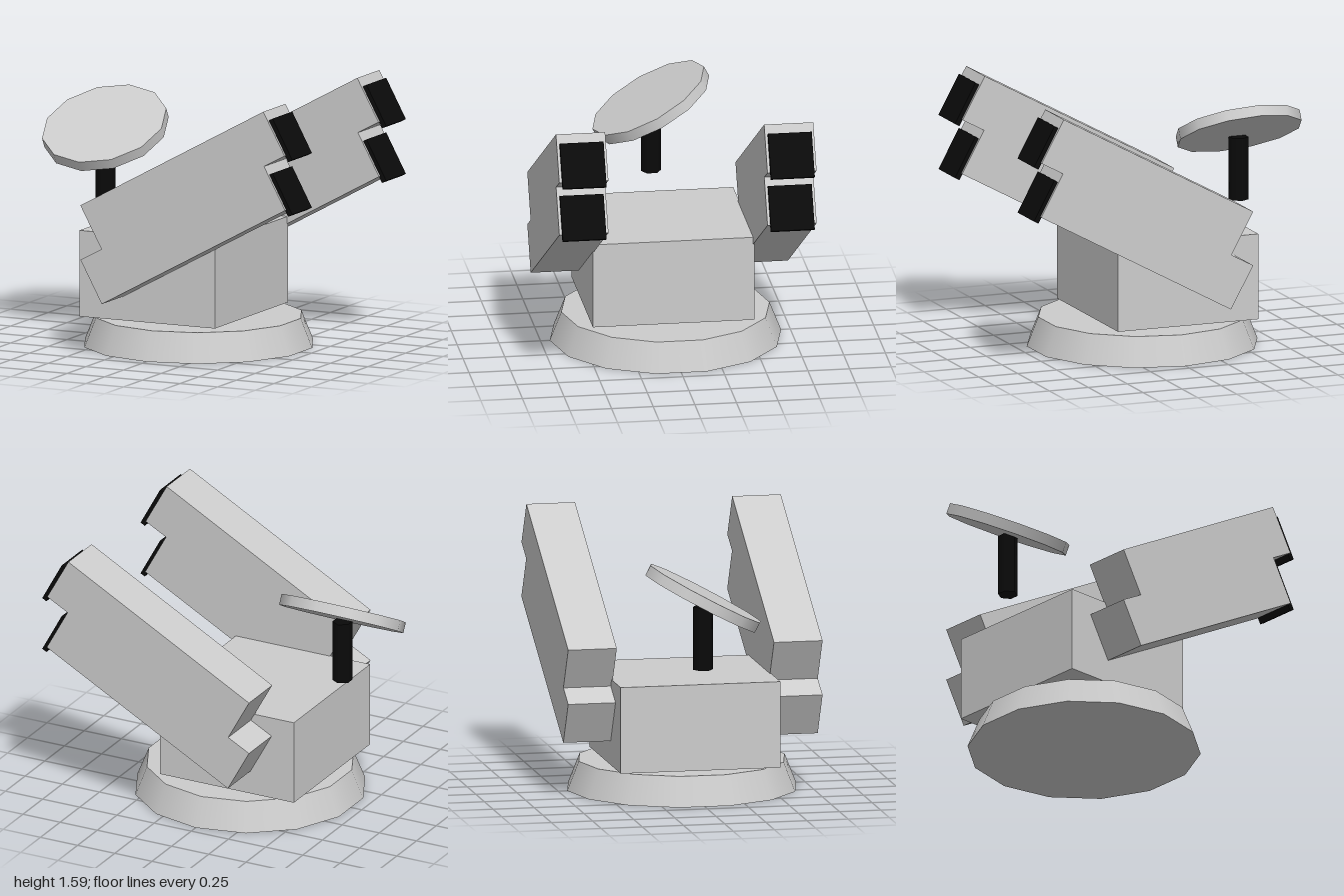
import * as THREE from 'three';

const grey = new THREE.MeshStandardMaterial({ color: 0xcccccc });
grey.name = 'light grey';
const black = new THREE.MeshStandardMaterial({ color: 0x0a0a0a });
black.name = 'black';

const TILT = THREE.MathUtils.degToRad(28.7); // elevation of the pods

function part(name, geometry, material, x, y, z) {
  const mesh = new THREE.Mesh(geometry, material);
  mesh.name = name;
  mesh.position.set(x, y, z);
  return mesh;
}

// One launcher pod: two stepped tubes in a single profile, with dark end caps
function createPod(name, z) {
  const pod = new THREE.Group();
  pod.name = name;
  pod.position.z = z;

  const width = 0.295;
  const profile = [
    [-0.4, 0.925], [-0.26, 0.672], [-0.4, 0.597], [-0.258, 0.34],
    [0.96, 1.005], [0.82, 1.26], [0.957, 1.334], [0.815, 1.59],
  ].map(([x, y]) => new THREE.Vector2(x, y));
  const housing = new THREE.ExtrudeGeometry(new THREE.Shape(profile), { depth: width, bevelEnabled: false });
  housing.translate(0, 0, -width / 2);
  pod.add(part('podHousing', housing, grey, 0, 0, 0));

  for (const [capName, y] of [['upperCap', 1.423], ['lowerCap', 1.093]]) {
    const cap = part(capName, new THREE.BoxGeometry(0.032, 0.273, 0.262), black, 0.92, y, 0);
    cap.rotation.z = TILT;
    pod.add(cap);
  }
  return pod;
}

export function createModel() {
  const model = new THREE.Group();
  model.name = 'launcherTurret';

  // Flared round base and the rotating body just above it
  model.add(part('base', new THREE.CylinderGeometry(0.625, 0.695, 0.176, 14), grey, 0, 0.088, 0));
  model.add(part('body', new THREE.BoxGeometry(0.9, 0.52, 0.97), grey, -0.1, 0.455, 0));

  // Pods on both sides of the body
  model.add(createPod('frontPod', 0.625), createPod('rearPod', -0.625));

  // Radar mast with its tilted dish
  model.add(part('mast', new THREE.CylinderGeometry(0.06, 0.06, 0.38, 6), black, -0.62, 1.01, 0));
  const dish = part('radarDish', new THREE.CylinderGeometry(0.38, 0.38, 0.066, 12), grey, -0.62, 1.25, 0);
  dish.rotation.x = THREE.MathUtils.degToRad(28.3);
  model.add(dish);

  return model;
}
